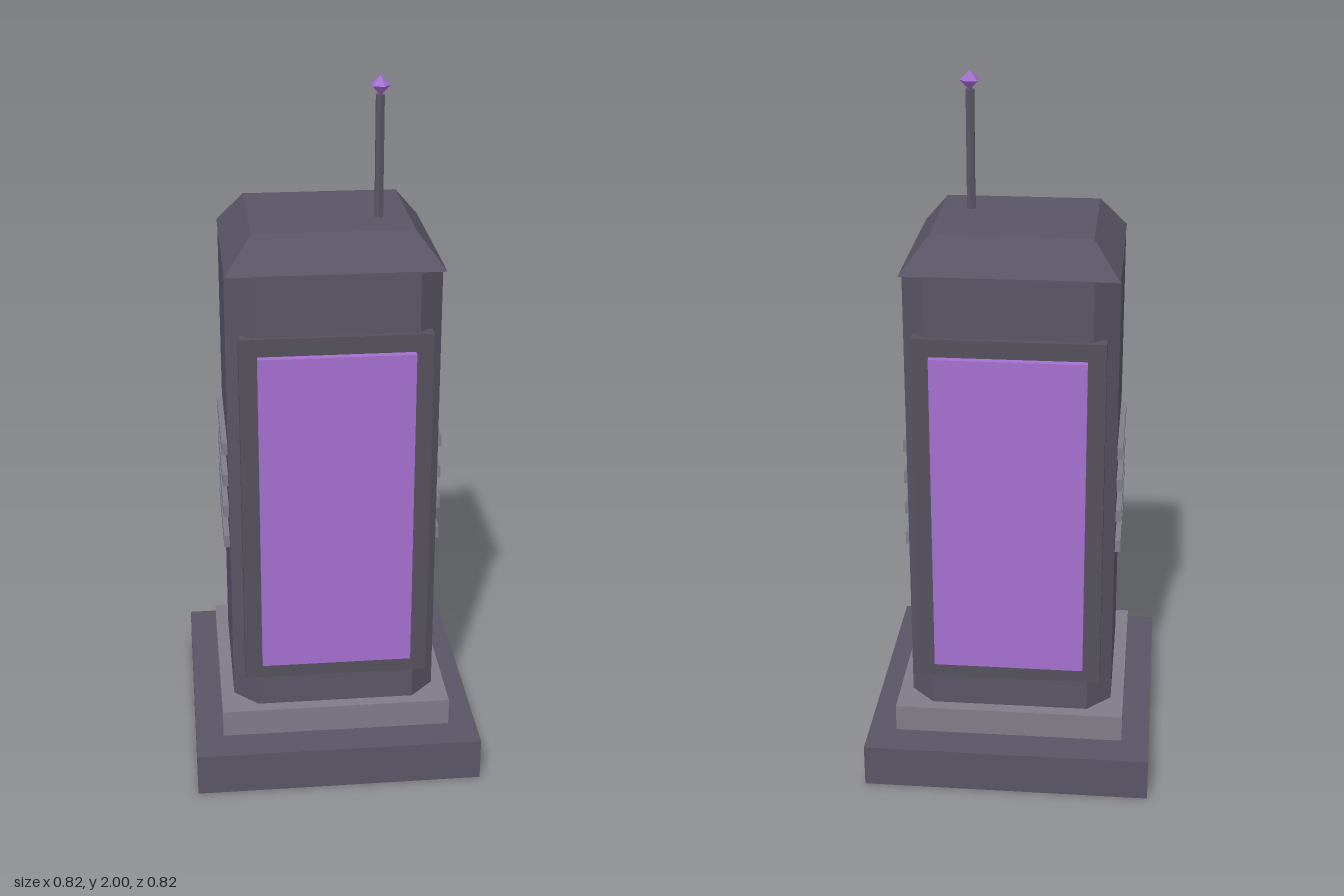
import * as THREE from 'three';

const material = (name, color) => {
  const m = new THREE.MeshStandardMaterial({ color });
  m.name = name;
  return m;
};

// Faceted version of a geometry
function faceted(geometry) {
  const g = geometry.index ? geometry.toNonIndexed() : geometry;
  g.computeVertexNormals();
  return g;
}

export function createModel() {
  const group = new THREE.Group();
  const casing = material('dark casing', 0x5a5565);
  const trim = material('grey trim', 0x807c88);
  const frameGrey = material('frame grey', 0x55515c);
  const glow = material('purple glow', 0xa56fd0);

  const add = (name, geometry, mat, x, y, z) => {
    const mesh = new THREE.Mesh(geometry, mat);
    mesh.name = name;
    mesh.position.set(x, y, z);
    group.add(mesh);
    return mesh;
  };
  // Box given by its size and its lower and upper height
  const block = (name, w, d, y0, y1, mat, x = 0, z = 0) =>
    add(name, new THREE.BoxGeometry(w, y1 - y0, d), mat, x, (y0 + y1) / 2, z);

  // Stepped foot
  block('base', 0.825, 0.825, 0, 0.125, casing);
  block('plinth', 0.665, 0.622, 0.125, 0.205, trim);

  // Body with chamfered corners
  const hx = 0.295, hz = 0.275, c = 0.068;
  const outline = new THREE.Shape([
    [hx, -hz + c], [hx, hz - c], [hx - c, hz], [-hx + c, hz],
    [-hx, hz - c], [-hx, -hz + c], [-hx + c, -hz], [hx - c, -hz],
  ].map(([x, z]) => new THREE.Vector2(x, z)));
  const bodyGeometry = new THREE.ExtrudeGeometry(outline, { depth: 1.315, bevelEnabled: false });
  bodyGeometry.rotateX(-Math.PI / 2);
  add('body', bodyGeometry, casing, 0, 0.205, 0);

  // Roof: a box whose top is drawn inwards
  const roofGeometry = new THREE.BoxGeometry(hx * 2, 0.095, hz * 2);
  const p = roofGeometry.attributes.position;
  for (let i = 0; i < p.count; i++) {
    if (p.getY(i) > 0) {
      p.setX(i, Math.sign(p.getX(i)) * 0.22);
      p.setZ(i, Math.sign(p.getZ(i)) * 0.2);
    }
  }
  add('roof', faceted(roofGeometry), casing, 0, 1.566, 0);

  for (const side of [1, -1]) {
    // Framed screens on front and back
    block('screenFrame', 0.526, 0.04, 0.305, 1.35, frameGrey, 0, side * 0.269);
    block('screen', 0.428, 0.04, 0.355, 1.3, glow, 0, side * 0.29);
    // Vent slats on both flanks
    for (let i = 0; i < 4; i++) {
      const y = 0.69 + i * 0.097;
      block('ventSlat', 0.03, 0.34, y - 0.018, y + 0.018, trim, side * 0.296, 0);
    }
  }

  // Antenna with a faceted gem on its tip
  add('antenna', faceted(new THREE.CylinderGeometry(0.013, 0.013, 0.345, 6)), casing, 0.137, 1.775, 0.068);
  const gem = add('antennaTip', faceted(new THREE.SphereGeometry(0.028, 5, 2)), glow, 0.137, 1.972, 0.068);
  gem.rotation.y = Math.PI;

  return group;
}
